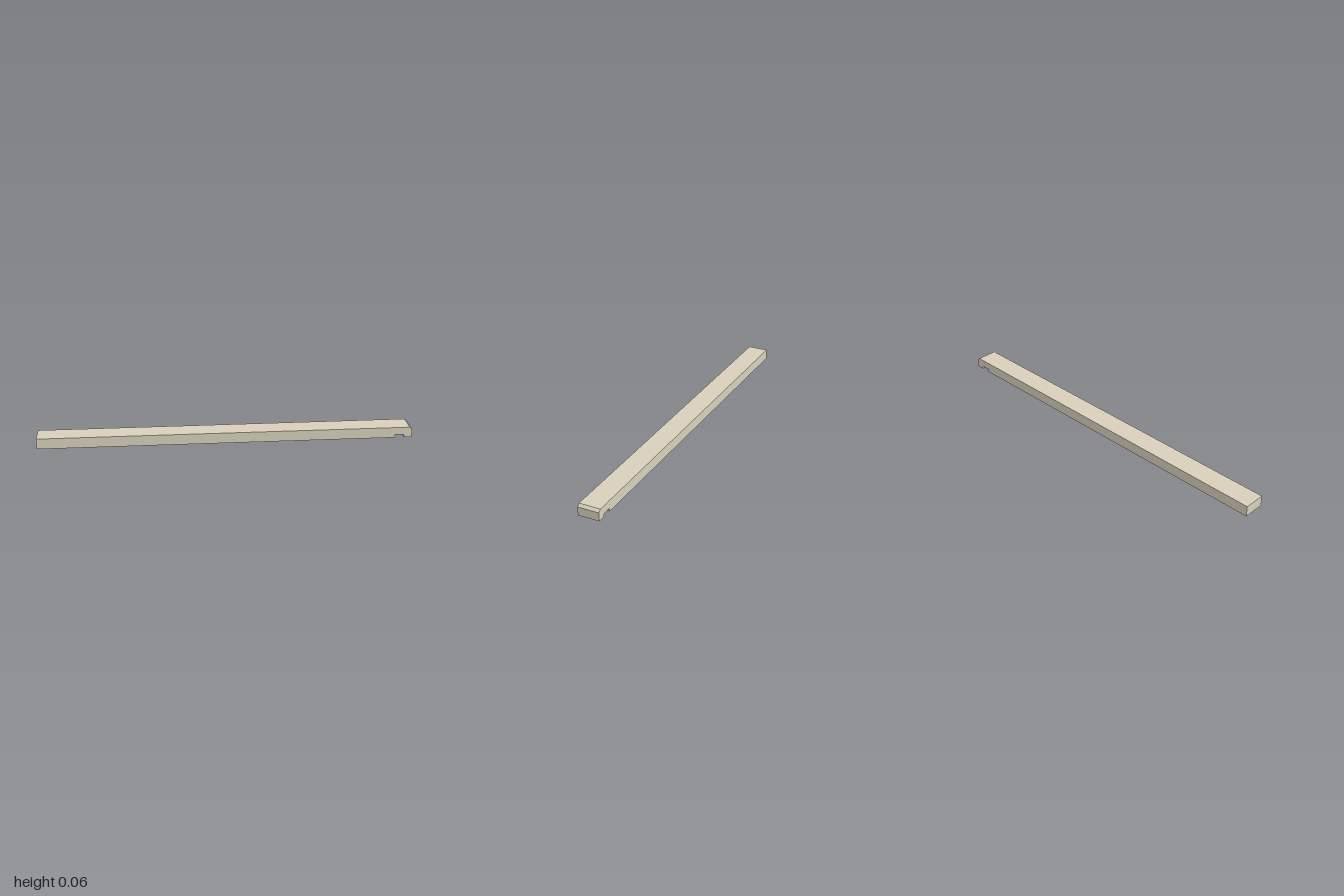
import * as THREE from 'three';

const DEPTH = 0.114;

export function createModel() {
  const group = new THREE.Group();
  group.name = 'beam';

  // Side profile: chamfered top corner and a notch across the underside at one end
  const profile = new THREE.Shape([
    [-1, 0], [0.908, 0], [0.908, 0.017], [0.951, 0.017], [0.958, 0.011], [0.958, 0],
    [1, 0], [1, 0.045], [0.986, 0.058], [-1, 0.058],
  ].map(([x, y]) => new THREE.Vector2(x, y)));

  const geometry = new THREE.ExtrudeGeometry(profile, { depth: DEPTH, bevelEnabled: false });
  geometry.translate(0, 0, -DEPTH / 2);

  const bar = new THREE.Mesh(geometry, new THREE.MeshStandardMaterial({ color: 0xd8d0bc }));
  bar.name = 'notchedBar';
  group.add(bar);
  return group;
}
